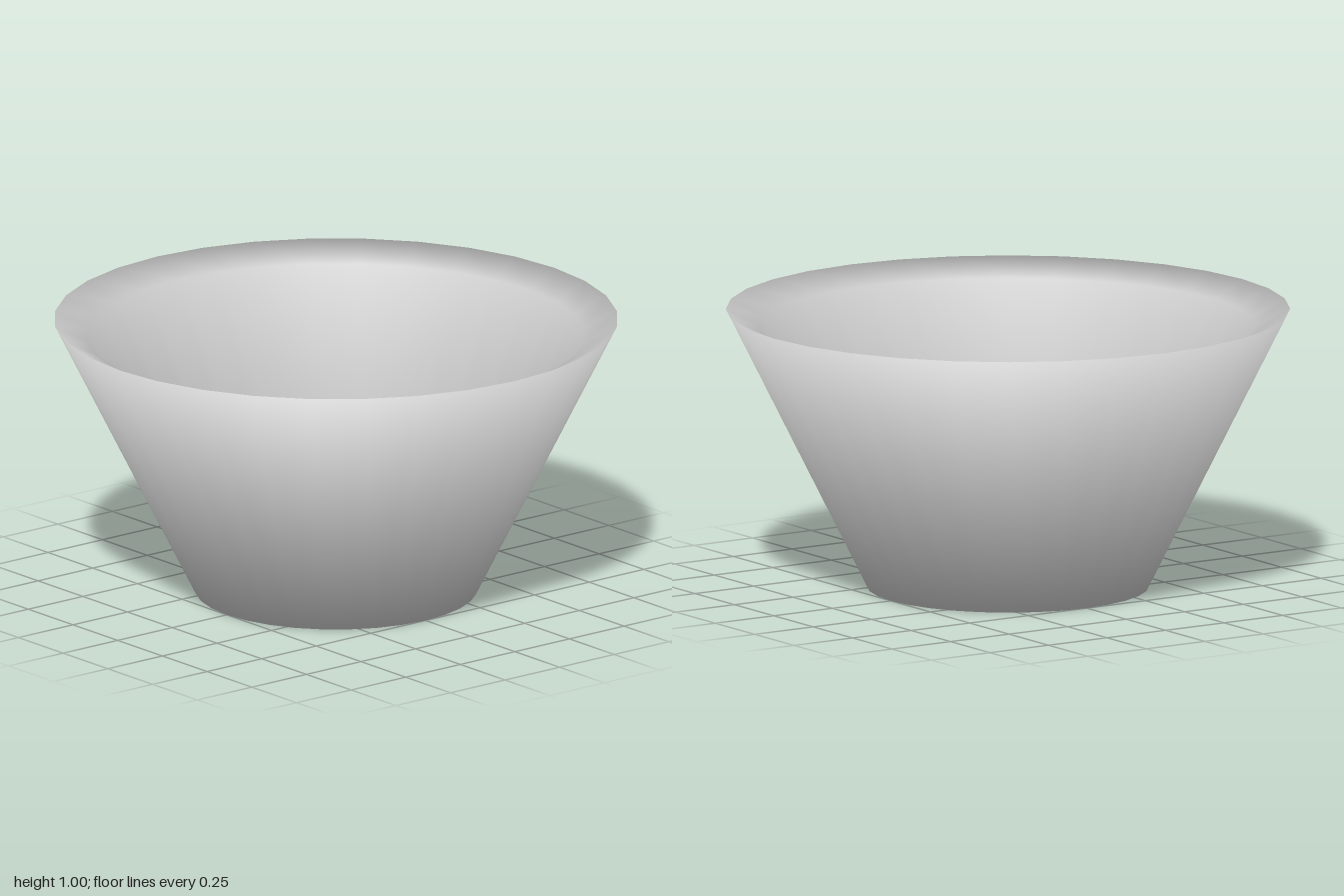
import * as THREE from 'three';

const SIDES = 32;
const INNER_SCALE = 0.883; // inner skin is the outer one shrunk about its centre

export function createModel() {
  const group = new THREE.Group();
  group.name = 'openCone';

  const lightGrey = new THREE.MeshStandardMaterial({ color: 0xcccccc });
  lightGrey.name = 'lightGrey';

  // Closed wall section: up the outside, over the rim, down the inside
  const outer = [new THREE.Vector2(0.5, 0), new THREE.Vector2(1, 1)];
  const inner = outer.map((p) => new THREE.Vector2(p.x * INNER_SCALE, 0.5 + (p.y - 0.5) * INNER_SCALE));
  const section = [outer[0], outer[1], inner[1], inner[0], outer[0]];
  const geometry = new THREE.LatheGeometry(section, SIDES);

  // Smooth normals around every corner, each neighbouring face counting equally
  const faceNormals = section.slice(0, 4).map((p, i) => {
    const q = section[i + 1];
    return new THREE.Vector2(q.y - p.y, p.x - q.x).normalize();
  });
  const normals = section.map((_, i) =>
    faceNormals[i % 4].clone().add(faceNormals[(i + 3) % 4]).normalize());
  const attribute = geometry.getAttribute('normal');
  for (let i = 0; i < attribute.count; i++) {
    const n = normals[i % section.length];
    const angle = (Math.floor(i / section.length) / SIDES) * Math.PI * 2;
    attribute.setXYZ(i, n.x * Math.sin(angle), n.y, n.x * Math.cos(angle));
  }

  const wall = new THREE.Mesh(geometry, lightGrey);
  wall.name = 'taperedWall';
  group.add(wall);
  return group;
}
